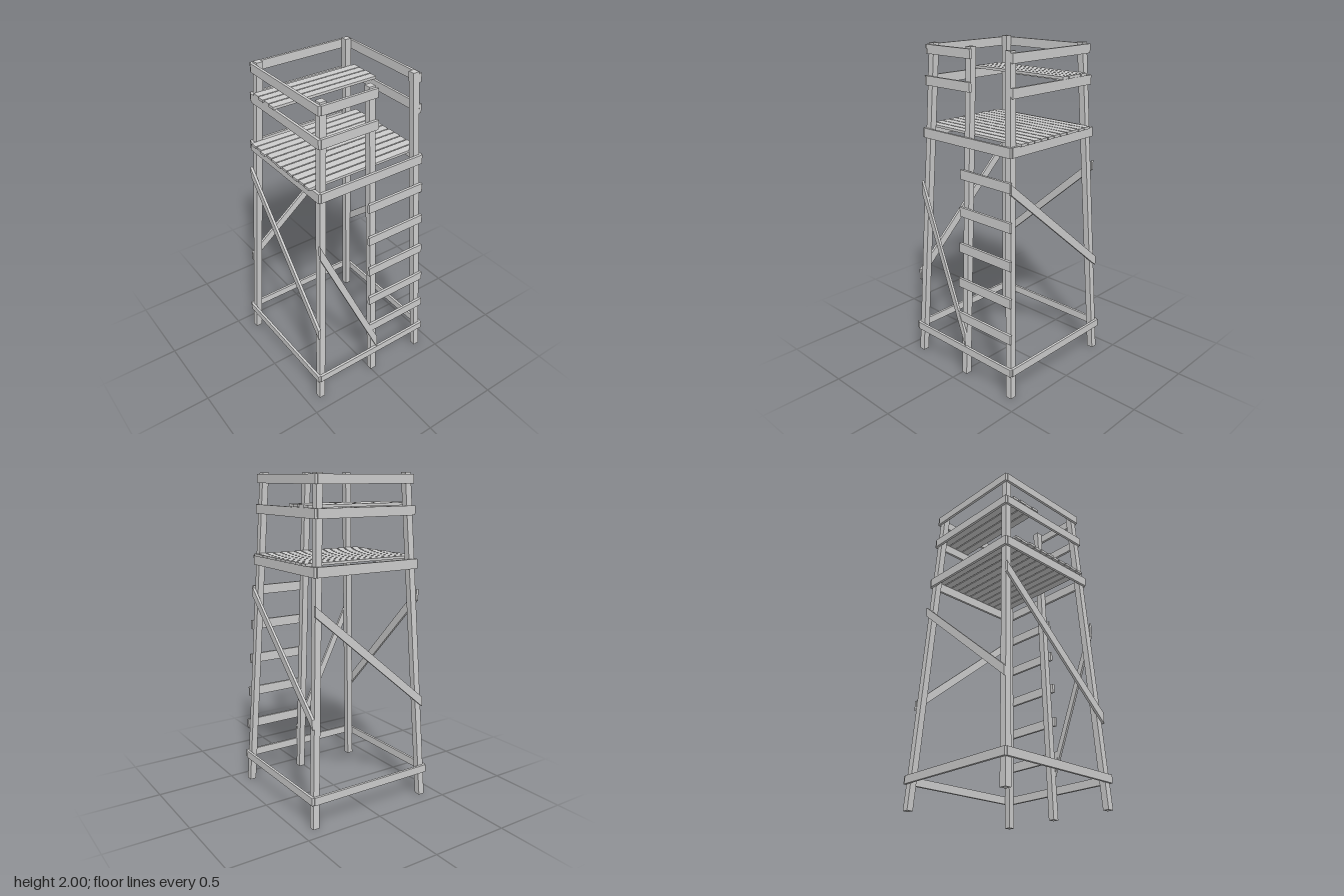
import * as THREE from 'three';

const mat = new THREE.MeshStandardMaterial({ color: 0xcccccc, flatShading: true });
const T = 0.016; // board thickness

// Distance from the centre axis to the outer face of the leaning legs
const face = (y) => 0.417 - 0.0485 * y;

export function createModel() {
  const root = new THREE.Group();

  const add = (name, geo) => {
    const mesh = new THREE.Mesh(geo, mat);
    mesh.name = name;
    root.add(mesh);
    return mesh;
  };

  // Straight board between two corners
  const board = (name, x0, x1, y0, y1, z0, z1) => add(name, new THREE.BoxGeometry(x1 - x0, y1 - y0, z1 - z0))
    .position.set((x0 + x1) / 2, (y0 + y1) / 2, (z0 + z1) / 2);

  // Slanted beam: a unit box skewed along one axis so that its ends keep their cut
  const beam = (name, axis, a, b, size) => {
    const geo = new THREE.BoxGeometry(1, 1, 1);
    const pos = geo.attributes.position;
    const from = new THREE.Vector3(...a), to = new THREE.Vector3(...b);
    const v = new THREE.Vector3(), c = new THREE.Vector3(), s = new THREE.Vector3(...size);
    for (let i = 0; i < pos.count; i++) {
      v.fromBufferAttribute(pos, i);
      c.lerpVectors(from, to, v[axis] + 0.5);
      v[axis] = 0;
      v.multiply(s).add(c);
      pos.setXYZ(i, v.x, v.y, v.z);
    }
    geo.computeVertexNormals();
    return add(name, geo);
  };

  // Four corner legs and the ladder post
  const legSize = [0.04, 0, 0.04];
  for (const sx of [-1, 1]) for (const sz of [-1, 1]) {
    beam('cornerLeg', 'y', [sx * 0.397, 0, sz * 0.397], [sx * 0.3, 2, sz * 0.3], legSize);
  }
  beam('ladderPost', 'y', [0.397, 0, -0.016], [0.3, 2, -0.005], legSize);

  // Rails round the tower, each overlapping its neighbour at one corner
  const railRing = (name, y0, y1, rightBack) => {
    const f = face((y0 + y1) / 2), o = f + T, e = f + 0.01;
    board(name + 'Front', -f, e, y0, y1, f, o);
    board(name + 'Back', -e, f, y0, y1, -o, -f);
    board(name + 'Left', -o, -f, y0, y1, -f, e);
    board(name + 'Right', f, o, y0, y1, rightBack ?? -e, f);
  };
  railRing('baseRail', 0.152, 0.2);
  railRing('platformRail', 1.445, 1.503);
  railRing('middleRail', 1.757, 1.812, -0.035); // open above the ladder
  railRing('topRail', 1.937, 1.99, -0.032);

  // Platform planks, slightly uneven at the ends
  const uneven = [0, -0.004, 0.006, -0.003, 0, 0.003, -0.002, 0, 0.002, -0.002, 0];
  uneven.forEach((d, i) => {
    const x = (i - 5) * 0.0548;
    board('platformPlank', x - 0.024, x + 0.024, 1.503, 1.518, -0.381 + d / 2, 0.381 + d);
  });

  // Bench planks
  for (let i = 0; i < 4; i++) {
    const x = -0.262 + i * 0.0548, d = (i % 2) * 0.004;
    board('benchPlank', x - 0.024, x + 0.024, 1.813, 1.829, -0.353 + d, 0.349 + d);
  }

  // Ladder rungs
  for (let i = 0; i < 5; i++) {
    const y = 0.388 + i * 0.2235, f = face(y);
    board('ladderRung', f, f + T, y - 0.029, y + 0.029, -f - 0.01, 0.028);
  }

  // Diagonal braces lying on the leaning faces
  const depth = (y) => face(y) + T / 2;
  beam('frontBrace', 'x', [-0.36, 1.288, depth(1.288)], [0.4, 0.54, depth(0.54)], [0, 0.068, T]);
  beam('backBrace', 'x', [-0.39, 0.628, -depth(0.628)], [0.365, 1.275, -depth(1.275)], [0, 0.06, T]);
  beam('leftBrace', 'z', [-depth(1.265), 1.265, -0.365], [-depth(0.62), 0.62, 0.39], [T, 0.06, 0]);
  beam('rightBrace', 'z', [depth(0.24), 0.24, -0.035], [depth(1.13), 1.13, 0.37], [T, 0.09, 0]);

  return root;
}
